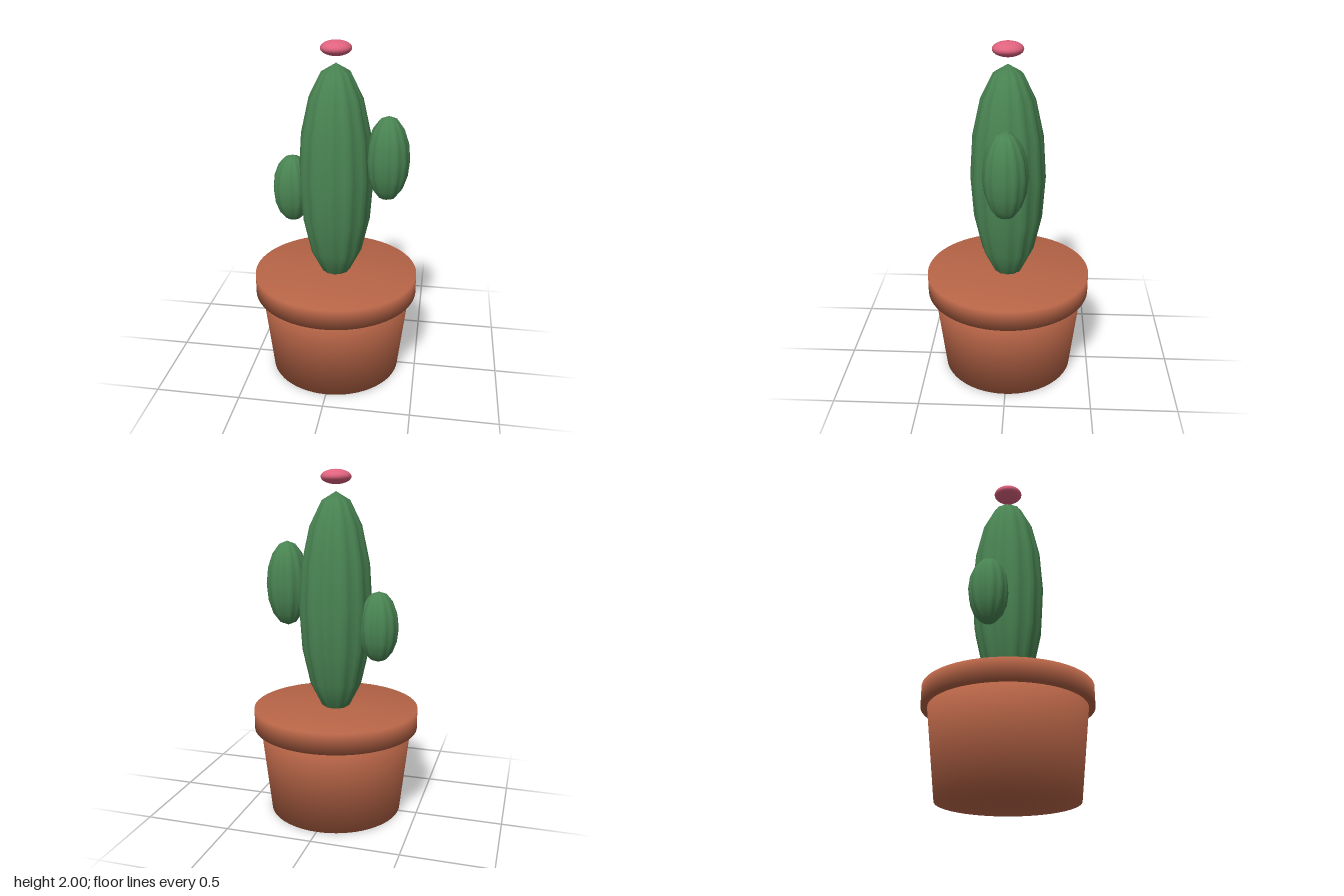
import * as THREE from 'three';
import { mergeVertices } from 'three/addons/utils/BufferGeometryUtils.js';

const terracotta = new THREE.MeshStandardMaterial({ color: 0xb86547 });
terracotta.name = 'terracotta';
const cactusGreen = new THREE.MeshStandardMaterial({ color: 0x4a8553 });
cactusGreen.name = 'cactusGreen';
const flowerPink = new THREE.MeshStandardMaterial({ color: 0xe0637f });
flowerPink.name = 'flowerPink';

function addMesh(group, name, geometry, material, x = 0, y = 0, z = 0) {
  const mesh = new THREE.Mesh(geometry, material);
  mesh.name = name;
  mesh.position.set(x, y, z);
  group.add(mesh);
  return mesh;
}

// Closed, softly shaded drum turned from a bottom and a top radius
function drum(bottomRadius, topRadius, y0, y1) {
  const profile = [[0, y0], [bottomRadius, y0], [topRadius, y1], [0, y1]];
  return new THREE.LatheGeometry(profile.map(([r, y]) => new THREE.Vector2(r, y)), 64);
}

// Stretched ball with twelve vertical ribs
function ribbedBody(radius, halfHeight) {
  const ball = new THREE.SphereGeometry(1, 48, 8);
  ball.deleteAttribute('uv');
  ball.deleteAttribute('normal');
  const geometry = mergeVertices(ball, 1e-4);
  const p = geometry.attributes.position;
  for (let i = 0; i < p.count; i++) {
    const angle = Math.atan2(p.getZ(i), p.getX(i));
    const r = radius * (0.96 + 0.04 * Math.cos(12 * angle));
    p.setXYZ(i, p.getX(i) * r, p.getY(i) * halfHeight, p.getZ(i) * r);
  }
  geometry.computeVertexNormals();
  return geometry;
}

export function createModel() {
  const model = new THREE.Group();
  model.name = 'pottedCactus';

  // Pot
  addMesh(model, 'pot', drum(0.39, 0.45, 0, 0.53), terracotta);
  addMesh(model, 'potRim', drum(0.484, 0.484, 0.51, 0.63), terracotta);

  // Cactus
  addMesh(model, 'cactusBody', ribbedBody(0.216, 0.645), cactusGreen, 0, 1.235, 0);
  addMesh(model, 'leftArm', ribbedBody(0.124, 0.247), cactusGreen, 0.294, 1.352, 0);
  addMesh(model, 'rightArm', ribbedBody(0.116, 0.203), cactusGreen, -0.262, 1.132, -0.037);

  // Flower above the tip
  const flower = addMesh(model, 'flower', new THREE.SphereGeometry(0.086, 32, 16), flowerPink, 0, 1.959, 0);
  flower.scale.y = 0.48;

  return model;
}
